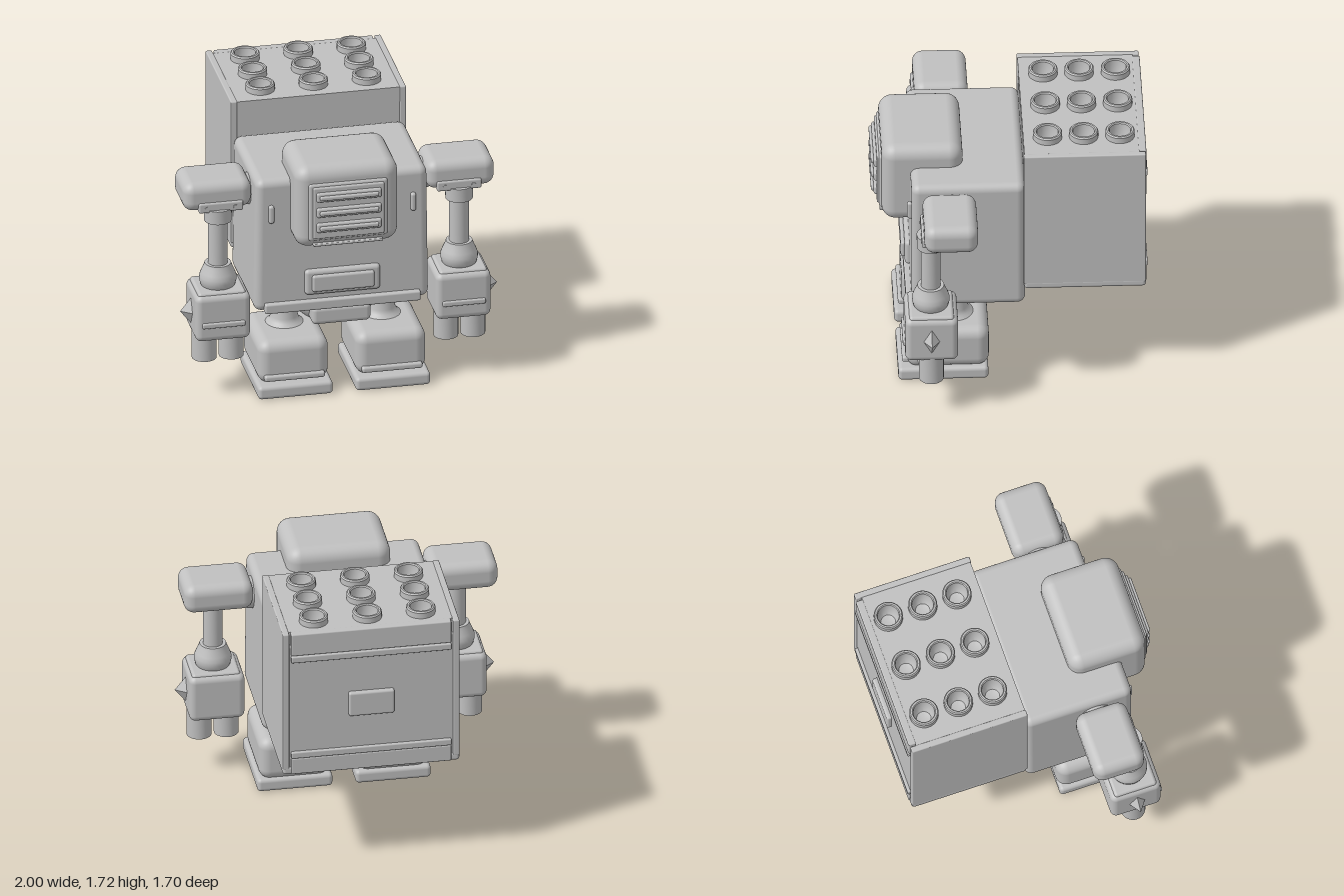
import * as THREE from 'three';
import { RoundedBoxGeometry } from 'three/addons/geometries/RoundedBoxGeometry.js';
import { toCreasedNormals } from 'three/addons/utils/BufferGeometryUtils.js';

export function createModel() {
  const model = new THREE.Group();
  const grey = new THREE.MeshStandardMaterial({ color: 0xc0c0c0 });
  grey.name = 'grey';

  function add(name, geometry, x = 0, y = 0, z = 0) {
    const mesh = new THREE.Mesh(geometry, grey);
    mesh.name = name;
    mesh.position.set(x, y, z);
    model.add(mesh);
    return mesh;
  }
  // Rounded box given by its extents: centre x, width, then y and z ranges
  function block(name, x, w, y0, y1, z0, z1, r) {
    const geometry = new RoundedBoxGeometry(w, y1 - y0, z1 - z0, 4, r);
    return add(name, geometry, x, (y0 + y1) / 2, (z0 + z1) / 2);
  }
  // Turned part from [radius, y] points, listed upwards on outer faces
  function turned(name, points, x, z) {
    const lathe = new THREE.LatheGeometry(points.map(p => new THREE.Vector2(...p)), 32);
    return add(name, toCreasedNormals(lathe, 0.6), x, 0, z);
  }

  // Torso, slightly narrower at the top
  const torso = block('torso', 0, 1.1, 0.567, 1.46, -0.085, 0.615, 0.05);
  const pos = torso.geometry.attributes.position;
  for (let i = 0; i < pos.count; i++) {
    pos.setX(i, pos.getX(i) * (1 - 0.02 * (pos.getY(i) / 0.893 + 0.5)));
  }
  block('waistLip', 0, 0.98, 0.565, 0.63, 0.5, 0.65, 0.012);
  block('bellyFrame', 0, 0.475, 0.665, 0.835, 0.58, 0.645, 0.025);
  block('bellyPlate', 0, 0.39, 0.695, 0.805, 0.6, 0.668, 0.015);

  // Head and face grille
  block('head', 0, 0.65, 1.05, 1.6, 0.29, 0.79, 0.085);
  block('facePlate', 0, 0.5, 1.11, 1.5, 0.75, 0.803, 0.02);
  block('faceInset', 0, 0.45, 1.13, 1.48, 0.77, 0.817, 0.012);
  for (const y of [1.21, 1.313, 1.417]) {
    block('grilleBar', 0, 0.41, y - 0.032, y + 0.032, 0.78, 0.835, 0.015);
    block('grilleRidge', 0, 0.37, y - 0.014, y + 0.014, 0.8, 0.852, 0.01);
  }
  block('chinStrip', 0, 0.44, 1.072, 1.088, 0.75, 0.8, 0.006);

  // Hips
  const hips = add('hips', new THREE.SphereGeometry(1, 40, 24), 0, 0.535, 0.35);
  hips.scale.set(0.265, 0.17, 0.25);
  block('hipGuard', 0, 0.52, 0.53, 0.6, 0.3, 0.58, 0.025);
  block('hipPlate', 0, 0.37, 0.44, 0.56, 0.42, 0.61, 0.03);

  for (const s of [-1, 1]) {
    block('chestSlot', s * 0.447, 0.035, 1.175, 1.295, 0.58, 0.64, 0.015);

    // Leg
    const legX = s * 0.307;
    turned('leg', [[0, 0.33], [0.12, 0.33], [0.12, 0.365], [0.095, 0.385],
      [0.083, 0.41], [0.083, 0.6], [0, 0.6]], legX, 0.345);
    block('boot', legX, 0.444, 0.08, 0.367, 0.137, 0.65, 0.07);
    block('sole', legX, 0.47, 0.005, 0.092, 0.142, 0.697, 0.025);
    block('toeStrip', legX, 0.38, 0.112, 0.152, 0.61, 0.673, 0.015);

    // Shoulder
    const joint = add('shoulderJoint', new THREE.SphereGeometry(0.1, 32, 20), s * 0.55, 1.308, 0.37);
    joint.scale.x = 1.2;
    block('shoulder', s * 0.765, 0.43, 1.255, 1.445, 0.222, 0.553, 0.065);
    block('shoulderBracket', s * 0.75, 0.28, 1.255, 1.32, 0.45, 0.567, 0.012);
    for (const x of [0.66, 0.84]) {
      const bolt = add('bracketBolt', new THREE.CylinderGeometry(0.014, 0.014, 0.012, 12), s * x, 1.285, 0.565);
      bolt.rotation.x = Math.PI / 2;
    }

    // Arm from collar to elbow
    const armX = s * 0.76, armZ = 0.508;
    turned('arm', [[0.061, 0.86], [0.061, 1.18], [0.085, 1.18], [0.087, 1.27], [0, 1.27]], armX, armZ);
    turned('elbow', [[0, 0.7], [0.09, 0.72], [0.108, 0.75], [0.116, 0.78], [0.115, 0.805],
      [0.105, 0.832], [0.09, 0.865], [0.082, 0.89], [0, 0.89]], armX, armZ);
    block('cuff', armX, 0.3, 0.69, 0.745, 0.37, 0.645, 0.02);

    // Hand with diamond stud and two hollow fingers
    block('hand', s * 0.757, 0.345, 0.422, 0.732, 0.344, 0.67, 0.04);
    block('handStrip', s * 0.757, 0.27, 0.52, 0.555, 0.64, 0.685, 0.01);
    const stud = add('diamondStud', new THREE.OctahedronGeometry(1), s * 0.926, 0.575, armZ);
    stud.scale.set(0.072, 0.09, 0.052);
    for (const dx of [-0.085, 0.085]) {
      turned('finger', [[0, 0.32], [0.06, 0.32], [0.06, 0.25], [0.077, 0.25],
        [0.077, 0.45]], s * (0.761 + dx), armZ);
    }
  }

  // Backpack core, side walls and rear bands
  block('packCore', 0, 1.04, 0.7, 1.59, -0.82, -0.085, 0.01);
  for (const s of [-1, 1]) {
    block('packSide', s * 0.532, 0.04, 0.72, 1.684, -0.828, -0.075, 0.008);
  }
  block('packBase', 0, 1.106, 0.685, 0.742, -0.828, -0.078, 0.02);
  block('packRearTop', 0, 1.0, 1.53, 1.682, -0.833, -0.785, 0.008);
  block('packRearBottom', 0, 1.0, 0.69, 0.8, -0.833, -0.78, 0.008);
  for (const y of [0.825, 1.505]) {
    block('packBand', 0, 1.0, y - 0.022, y + 0.022, -0.84, -0.8, 0.008);
  }
  block('packPlate', 0, 0.285, 1.075, 1.24, -0.85, -0.8, 0.014);

  // Top deck with nine launch tubes
  const deck = new THREE.Shape([[-0.515, 0.08], [0.515, 0.08], [0.515, 0.79], [-0.515, 0.79]]
    .map(p => new THREE.Vector2(...p)));
  for (const x of [-0.335, 0, 0.335]) {
    for (const z of [0.23, 0.453, 0.677]) {
      deck.holes.push(new THREE.Path().absarc(x, z, 0.075, 0, Math.PI * 2, true));
      turned('launchTube', [[0.09, 1.67], [0.09, 1.718], [0.083, 1.727], [0.072, 1.727],
        [0.066, 1.72], [0.062, 1.635], [0.045, 1.605], [0, 1.595]], x, -z);
    }
  }
  const deckGeometry = new THREE.ExtrudeGeometry(deck, { depth: 0.1, bevelEnabled: false, curveSegments: 24 });
  add('packDeck', deckGeometry, 0, 1.58, 0).rotation.x = -Math.PI / 2;

  return model;
}
